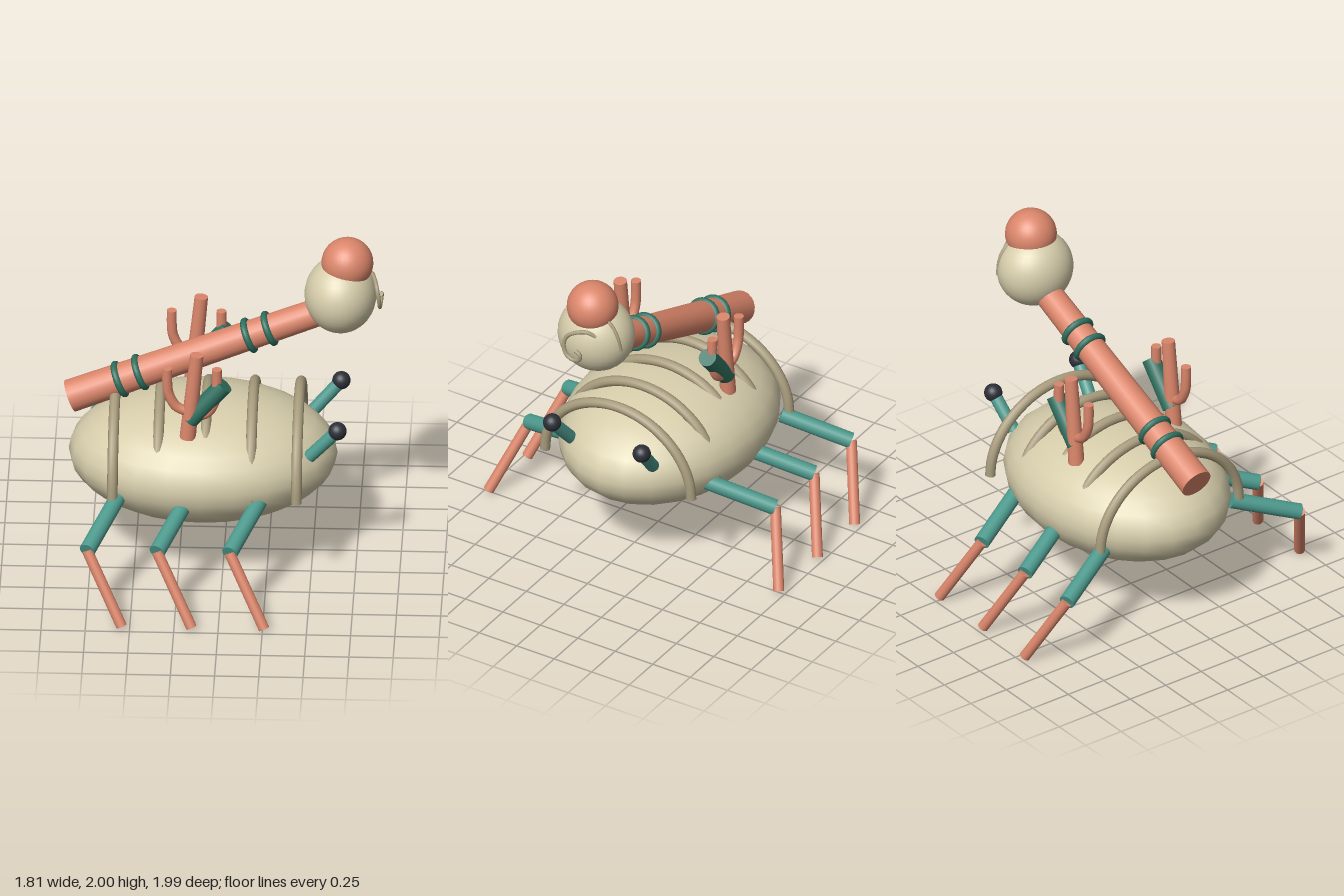
import * as THREE from 'three';

const mat = (name, color) => {
  const m = new THREE.MeshStandardMaterial({ color });
  m.name = name;
  return m;
};
const V = (x, y, z) => new THREE.Vector3(x, y, z);

export function createModel() {
  const model = new THREE.Group();
  model.name = 'creature';
  const cream = mat('cream', 0xd6cdab);
  const tan = mat('tan', 0xa89c7d);
  const salmon = mat('salmon', 0xdb866b);
  const teal = mat('teal', 0x4d9a8e);
  const green = mat('darkGreen', 0x2f705f);
  const black = mat('black', 0x2c2f38);

  const add = (name, geo, material, parent = model) => {
    const mesh = new THREE.Mesh(geo, material);
    mesh.name = name;
    parent.add(mesh);
    return mesh;
  };
  const ball = (name, c, r, material, parent, w = 24, h = 16) => {
    const m = add(name, new THREE.SphereGeometry(1, w, h), material, parent);
    m.position.copy(c);
    m.scale.copy(r);
    return m;
  };
  // Cylinder from point a (radius ra) to point b (radius rb)
  const rod = (name, a, b, ra, rb, material, parent) => {
    const d = b.clone().sub(a);
    const m = add(name, new THREE.CylinderGeometry(rb, ra, d.length(), 20), material, parent);
    m.position.copy(a).add(b).multiplyScalar(0.5);
    m.quaternion.setFromUnitVectors(V(0, 1, 0), d.normalize());
    return m;
  };
  // Curved tube with flat ends
  const tube = (name, points, r, material, parent = model) => {
    const g = new THREE.Group();
    g.name = name;
    parent.add(g);
    const curve = new THREE.CatmullRomCurve3(points);
    add(name + 'Tube', new THREE.TubeGeometry(curve, 40, r, 10), material, g);
    for (const t of [0, 1]) {
      const cap = add(name + 'End', new THREE.CircleGeometry(r, 10), material, g);
      cap.position.copy(curve.getPoint(t));
      cap.quaternion.setFromUnitVectors(V(0, 0, 1), curve.getTangent(t).multiplyScalar(t ? 1 : -1));
    }
    return g;
  };

  // Body
  ball('body', V(-0.12, 0.635, 0), V(0.76, 0.356, 0.57), cream, model, 24, 16);

  // Arched ribs over the back
  for (const x of [-0.615, -0.36, -0.095, 0.165, 0.425]) {
    const pts = [];
    for (let i = 0; i <= 16; i++) {
      const a = (i / 16) * Math.PI;
      pts.push(V(x, 0.565 + 0.45 * Math.sin(a), 0.488 * Math.cos(a)));
    }
    tube('rib', pts, 0.03, tan);
  }

  // Long neck beam with green bands
  const tail = V(-0.87, 0.965, 0), throat = V(0.6, 1.562, 0);
  rod('neck', tail, throat, 0.095, 0.08, salmon);
  const axis = throat.clone().sub(tail).normalize();
  for (const x of [-0.59, -0.475, 0.14, 0.255]) {
    const t = (x - tail.x) / (throat.x - tail.x);
    const band = add('neckBand', new THREE.TorusGeometry(0.09 - 0.008 * t, 0.02, 10, 28), green);
    band.position.lerpVectors(tail, throat, t);
    band.quaternion.setFromUnitVectors(V(0, 0, 1), axis);
  }

  // Head and cap
  const headC = V(0.656, 1.652, 0), headR = V(0.204, 0.222, 0.225);
  ball('head', headC, headR, cream, model, 32, 20);
  ball('cap', V(0.695, 1.854, 0), V(0.147, 0.147, 0.147), salmon, model, 32, 20);

  // Curled tendril on the face
  tube('faceCurl', [
    V(0.81, 1.74, -0.095), V(0.83, 1.765, -0.05), V(0.85, 1.755, 0.01), V(0.865, 1.72, 0.065),
    V(0.875, 1.665, 0.08), V(0.88, 1.61, 0.06), V(0.88, 1.587, 0.015), V(0.885, 1.605, -0.03),
    V(0.888, 1.64, -0.035), V(0.885, 1.655, -0.005),
  ], 0.012, tan);
  // Thin arc lying on the side of the head
  const onHead = (x, y, z) => V(x, y, z).sub(headC).divide(headR).normalize().multiply(headR).add(headC);
  tube('sideCurl', [
    onHead(0.74, 1.84, -0.12), onHead(0.74, 1.8, -0.17), onHead(0.74, 1.73, -0.205), onHead(0.73, 1.64, -0.215),
  ], 0.01, tan);

  for (const s of [1, -1]) {
    const half = new THREE.Group();
    half.name = s > 0 ? 'frontSide' : 'backSide';
    model.add(half);

    // Three jointed legs
    for (const x of [-0.745, -0.35, 0.06]) {
      const leg = new THREE.Group();
      leg.name = 'leg';
      half.add(leg);
      const knee = V(x, 0.42, 0.82 * s);
      rod('upperLeg', V(x + 0.155, 0.555, 0.45 * s), knee, 0.046, 0.046, teal, leg);
      rod('lowerLeg', knee, V(x + 0.2, 0.017, 0.968 * s), 0.031, 0.031, salmon, leg);
    }

    // Eye stalk
    rod('eyeStalk', V(0.49, 0.75, 0.272 * s), V(0.645, 0.925, 0.297 * s), 0.037, 0.037, teal, half);
    ball('eye', V(0.65, 0.932, 0.299 * s), V(0.052, 0.052, 0.052), black, half, 20, 14);

    // Branching growth on the back with a green cylinder beside it
    const z = 0.343 * s;
    rod('branchStem', V(-0.195, 0.9, z), V(-0.143, 1.43, z), 0.046, 0.038, salmon, half);
    tube('leftBranch', [
      V(-0.18, 1.06, z), V(-0.26, 1.1, z), V(-0.302, 1.18, z), V(-0.31, 1.25, z), V(-0.31, 1.34, z),
    ], 0.029, salmon, half);
    tube('rightBranch', [
      V(-0.18, 1.03, z), V(-0.085, 1.06, z), V(-0.04, 1.14, z), V(-0.03, 1.23, z), V(-0.03, 1.34, z),
    ], 0.029, salmon, half);
    rod('greenBarrel', V(-0.185, 1.01, 0.336 * s), V(0.012, 1.238, 0.336 * s), 0.053, 0.053, green, half);
  }
  return model;
}
